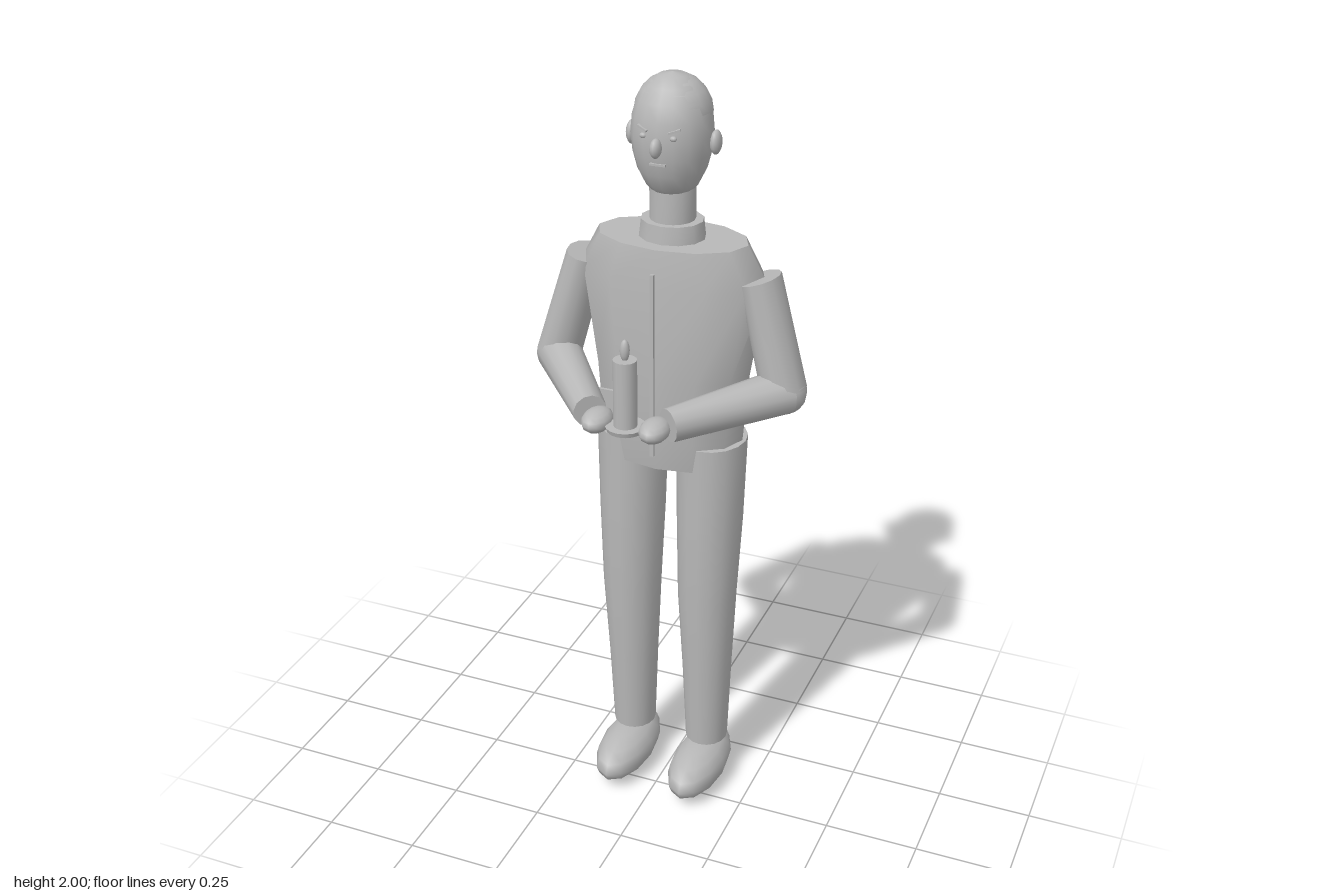
import * as THREE from 'three';
import { toCreasedNormals } from 'three/addons/utils/BufferGeometryUtils.js';

const grey = new THREE.MeshStandardMaterial({ color: 0xb8b8b8 });
grey.name = 'plain grey';

// Closed loft through elliptical rings [x, y, z, radiusX, radiusZ], listed from bottom to top
function loft(rings, sides = 12) {
  const geo = new THREE.CylinderGeometry(1, 1, 1, sides, rings.length - 1);
  const p = geo.attributes.position;
  for (let i = 0; i < p.count; i++) {
    const [x, y, z, rx, rz] = rings[Math.round((p.getY(i) + 0.5) * (rings.length - 1))];
    p.setXYZ(i, x + p.getX(i) * rx, y, z + p.getZ(i) * rz);
  }
  return toCreasedNormals(geo, 0.9);
}

export function createModel() {
  const model = new THREE.Group();
  model.name = 'figure';

  function add(name, geo, x = 0, y = 0, z = 0) {
    const mesh = new THREE.Mesh(geo, grey);
    mesh.name = name;
    mesh.position.set(x, y, z);
    model.add(mesh);
    return mesh;
  }
  function ellipsoid(name, x, y, z, rx, ry, rz, w = 12, h = 8) {
    const geo = new THREE.SphereGeometry(1, w, h).scale(rx, ry, rz);
    return add(name, geo, x, y, z);
  }
  // Limb running from a to b, with elliptical ends [radiusX, radiusZ]
  function limb(name, a, b, endA, endB) {
    const from = new THREE.Vector3(...a), to = new THREE.Vector3(...b);
    const dir = to.clone().sub(from);
    const mesh = add(name, loft([[0, 0, 0, ...endA], [0, dir.length(), 0, ...endB]]), ...a);
    mesh.quaternion.setFromUnitVectors(new THREE.Vector3(0, 1, 0), dir.normalize());
    return mesh;
  }

  // Torso, collar and neck
  add('torso', loft([
    [0, 1.0, -0.11, 0.183, 0.112],
    [0, 1.08, -0.112, 0.192, 0.125],
    [0, 1.25, -0.113, 0.205, 0.132],
    [0, 1.5, -0.113, 0.246, 0.131],
    [0, 1.595, -0.107, 0.195, 0.114],
  ]));
  add('collar', loft([[0, 1.59, -0.104, 0.085, 0.075], [0, 1.64, -0.104, 0.079, 0.071]]));
  add('neck', loft([[0, 1.63, -0.106, 0.057, 0.056], [0, 1.73, -0.106, 0.057, 0.056]], 16));

  // Jacket opening and pocket flaps
  add('jacketOpening', new THREE.BoxGeometry(0.01, 0.49, 0.009), 0, 1.295, 0.026);

  // Head: egg shape tapering to the chin
  const profile = [
    [0, 1.705], [0.045, 1.71], [0.066, 1.732], [0.084, 1.768], [0.095, 1.81], [0.1, 1.855],
    [0.096, 1.9], [0.084, 1.94], [0.062, 1.972], [0.034, 1.993], [0, 2.0],
  ].map(([r, y]) => new THREE.Vector2(r, y));
  add('head', new THREE.LatheGeometry(profile, 16), 0, 0, -0.102);

  // Hair cap set slightly towards the back
  const cap = new THREE.SphereGeometry(1, 16, 5, 0, Math.PI * 2, 0, Math.PI / 2).scale(0.095, 0.093, 0.093);
  add('hairCap', cap, 0, 1.905, -0.108);
  const capBase = new THREE.CircleGeometry(1, 16).rotateX(Math.PI / 2).scale(0.095, 1, 0.093);
  add('hairCapBase', capBase, 0, 1.905, -0.108);

  // Face
  ellipsoid('nose', 0, 1.845, 0.003, 0.014, 0.024, 0.02);
  add('mouth', new THREE.BoxGeometry(0.04, 0.005, 0.008), 0, 1.802, -0.009);

  // Candle on its dish
  add('dish', new THREE.CylinderGeometry(0.05, 0.046, 0.012, 16), 0, 1.211, 0.193);
  add('candle', new THREE.CylinderGeometry(0.029, 0.029, 0.175, 16), 0, 1.302, 0.193);
  ellipsoid('flame', 0, 1.413, 0.193, 0.012, 0.028, 0.012);

  // Mirrored parts
  for (const [side, s] of [['left', 1], ['right', -1]]) {
    // Leg and foot
    add(side + 'Leg', loft([
      [s * 0.108, 0.128, -0.108, 0.057, 0.061],
      [s * 0.108, 0.36, -0.103, 0.066, 0.07],
      [s * 0.108, 0.6, -0.096, 0.078, 0.08],
      [s * 0.109, 0.83, -0.105, 0.086, 0.092],
      [s * 0.109, 1.066, -0.11, 0.091, 0.1],
    ], 16));
    ellipsoid(side + 'Foot', s * 0.108, 0.064, -0.058, 0.073, 0.064, 0.161);

    // Arm bent forward to hold the dish
    const elbow = [s * 0.305, 1.238, -0.086];
    limb(side + 'UpperArm', elbow, [s * 0.228, 1.517, -0.107], [0.058, 0.058], [0.049, 0.074]);
    ellipsoid(side + 'Elbow', ...elbow, 0.058, 0.059, 0.058);
    limb(side + 'Forearm', elbow, [s * 0.102, 1.225, 0.172], [0.058, 0.058], [0.042, 0.042]);
    ellipsoid(side + 'Hand', s * 0.075, 1.216, 0.19, 0.037, 0.028, 0.054);

    // Pocket flap
    add(side + 'Pocket', new THREE.BoxGeometry(0.074, 0.07, 0.008), s * 0.117, 1.175, 0.018);

    // Ear, eye and brow
    ellipsoid(side + 'Ear', s * 0.107, 1.84, -0.11, 0.014, 0.03, 0.022);
    ellipsoid(side + 'Eye', s * 0.038, 1.868, -0.012, 0.009, 0.007, 0.007, 10, 6);
    const brow = add(side + 'Brow', new THREE.BoxGeometry(0.03, 0.005, 0.008), s * 0.04, 1.885, -0.013);
    brow.rotation.set(0, s * 0.35, s * 0.3);
  }
  return model;
}
